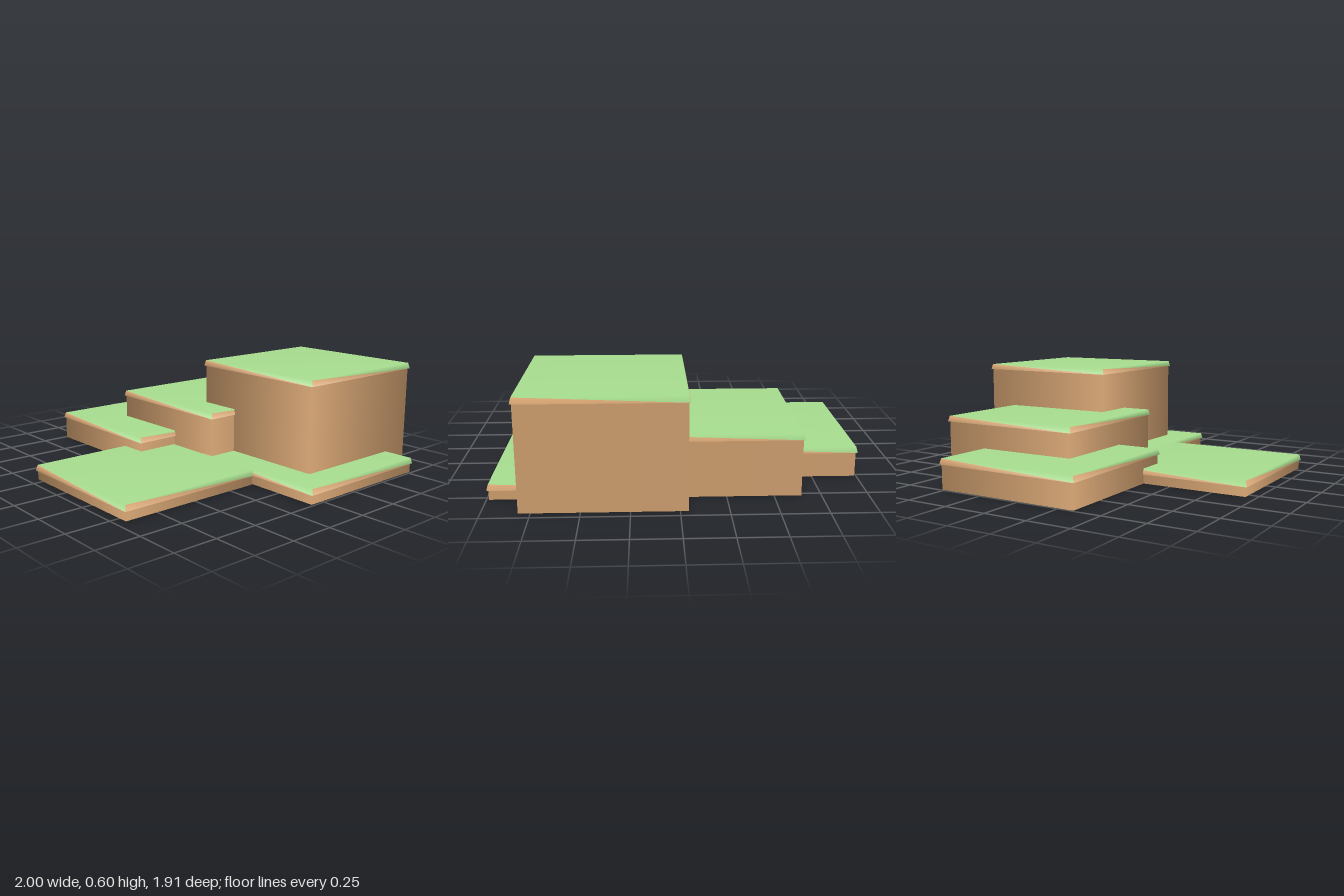
import * as THREE from 'three';

const earth = new THREE.MeshStandardMaterial({ color: 0xdca976, side: THREE.DoubleSide });
earth.name = 'earth';
const grass = new THREE.MeshStandardMaterial({ color: 0xa8de90, side: THREE.DoubleSide });
grass.name = 'grass';

const HALF = 0.436;      // half width of the grass rim
const WALL = 0.427;      // half width of the earth walls
const TOP = 0.428;       // half width of the flat grass
const LIP = 0.033;       // drop from the grass to the rim

// Four-sided lathe: profile is [half width, height] from bottom to top
function squareLathe(profile) {
  const points = profile.map(([half, y]) => new THREE.Vector2(half * Math.SQRT2, y));
  return new THREE.LatheGeometry(points, 4, Math.PI / 4);
}

function addMesh(group, name, geometry, material) {
  const mesh = new THREE.Mesh(geometry, material);
  mesh.name = name;
  group.add(mesh);
}

// Hollow terrace block, open underneath, with a thin overhanging grass cap
function makeTerrace(name, x, z, height) {
  const block = new THREE.Group();
  block.name = name;
  const rim = height - LIP;

  addMesh(block, 'earthWalls', squareLathe([[WALL, 0], [WALL, rim]]), earth);
  addMesh(block, 'rimUnderside', squareLathe([[WALL, rim], [HALF, rim]]), earth);

  // Each side of the lip is split diagonally: earth below, grass above
  const cap = squareLathe([[HALF, rim], [TOP, height], [0, height]]);
  for (let side = 0; side < 4; side++) {
    cap.addGroup(side * 12, 3, 0);
    cap.addGroup(side * 12 + 3, 9, 1);
  }
  addMesh(block, 'grassCap', cap, [earth, grass]);

  block.position.set(x, 0, z);
  return block;
}

export function createModel() {
  const model = new THREE.Group();
  model.name = 'grassTerraces';
  const terraces = [
    ['lowFrontTerrace', 0.127, 0.515, 0.086],
    ['lowSideTerrace', 0.56, -0.348, 0.086],
    ['secondTerrace', -0.564, -0.09, 0.172],
    ['thirdTerrace', -0.217, -0.348, 0.343],
    ['tallTerrace', 0.385, -0.522, 0.604],
  ];
  for (const terrace of terraces) model.add(makeTerrace(...terrace));
  return model;
}
